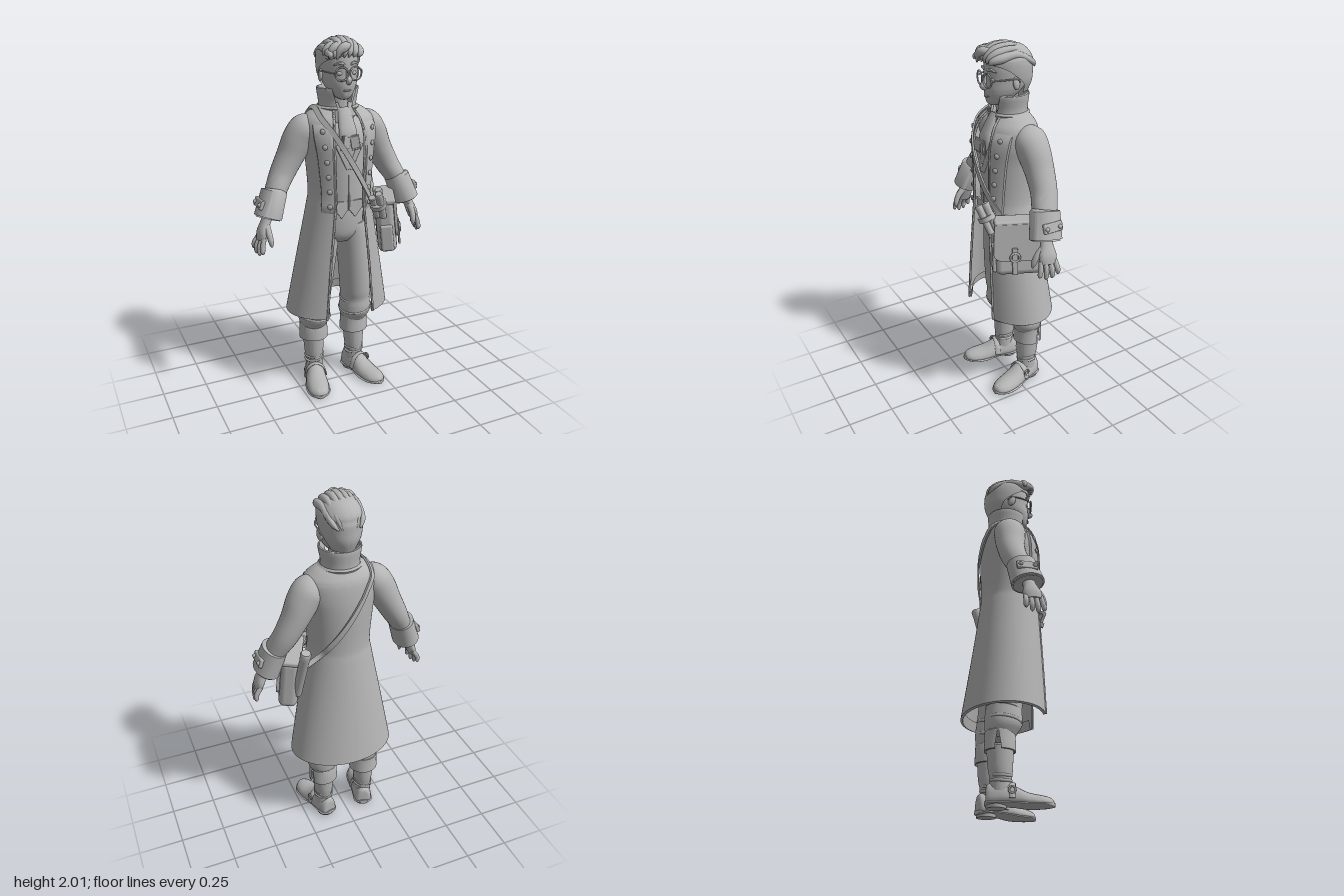
import * as THREE from 'three';
import { toCreasedNormals } from 'three/addons/utils/BufferGeometryUtils.js';
import { RoundedBoxGeometry } from 'three/addons/geometries/RoundedBoxGeometry.js';

const clay = new THREE.MeshStandardMaterial({ color: 0xb4b4b4, side: THREE.DoubleSide });
clay.name = 'clayGrey';
const V = (x, y, z) => new THREE.Vector3(x, y, z);

// Catmull-Rom refinement of rows of numbers
function refine(rows, k) {
  const out = [];
  for (let i = 0; i < rows.length - 1; i++) {
    const [a, b, c, d] = [rows[Math.max(i - 1, 0)], rows[i], rows[i + 1], rows[Math.min(i + 2, rows.length - 1)]];
    for (let j = 0; j < k; j++) {
      const t = j / k;
      out.push(b.map((v, m) => 0.5 * (2 * v + (c[m] - a[m]) * t + (2 * a[m] - 5 * v + 4 * c[m] - d[m]) * t * t
        + (3 * v - a[m] - 3 * c[m] + d[m]) * t * t * t)));
    }
  }
  out.push(rows[rows.length - 1]);
  return out;
}

// Skin over rings of points
function loft(rings, closed = true, caps = true) {
  const n = rings[0].length, pos = [], idx = [];
  rings.forEach(r => r.forEach(p => pos.push(p.x, p.y, p.z)));
  for (let i = 0; i < rings.length - 1; i++)
    for (let j = 0; j < (closed ? n : n - 1); j++) {
      const a = i * n + j, b = i * n + (j + 1) % n;
      idx.push(a, b, b + n, a, b + n, a + n);
    }
  if (caps && closed) [0, rings.length - 1].forEach((i, top) => {
    const c = rings[i].reduce((s, p) => s.add(p), V(0, 0, 0)).divideScalar(n);
    const ci = pos.length / 3;
    pos.push(c.x, c.y, c.z);
    for (let j = 0; j < n; j++) {
      const a = i * n + j, b = i * n + (j + 1) % n;
      top ? idx.push(ci, a, b) : idx.push(ci, b, a);
    }
  });
  const g = new THREE.BufferGeometry();
  g.setAttribute('position', new THREE.Float32BufferAttribute(pos, 3));
  g.setIndex(idx);
  return toCreasedNormals(g, 0.8);
}

// Upright form: rows of [y, cx, cz, rx, rz, half angle of front opening]
function upright(rows, k = 6, n = 44) {
  const open = rows[0].length > 5;
  return loft(refine(rows, k).map(([y, cx, cz, rx, rz, a = 0]) =>
    Array.from({ length: n }, (_, j) => {
      const t = open ? a + (2 * Math.PI - 2 * a) * j / (n - 1) : 2 * Math.PI * j / n;
      return V(cx + rx * Math.sin(t), y, cz + rz * Math.cos(t));
    })), !open);
}

// Limb along a path: rows of [x, y, z, radius along ref, other radius]
function limb(rows, ref = V(0, 0, 1), k = 5, n = 16) {
  const r = refine(rows.map(p => p.length < 5 ? [...p, p[3]] : p), k), at = i => V(r[i][0], r[i][1], r[i][2]);
  return loft(r.map((p, i) => {
    const t = at(Math.min(i + 1, r.length - 1)).sub(at(Math.max(i - 1, 0))).normalize();
    const u = ref.clone().addScaledVector(t, -ref.dot(t)).normalize(), v = t.clone().cross(u);
    return Array.from({ length: n }, (_, j) => {
      const f = 2 * Math.PI * j / n;
      return at(i).addScaledVector(u, p[3] * Math.cos(f)).addScaledVector(v, p[4] * Math.sin(f));
    });
  }));
}

// Coat profile, sampled again for panels, buttons and strap
const coatRows = refine([
  [0.49, 0, -0.035, 0.3, 0.22, 0.485], [0.8, 0, -0.017, 0.243, 0.193, 0.49], [1.1, 0, -0.003, 0.185, 0.167, 0.48],
  [1.2, 0, -0.001, 0.172, 0.159, 0.48], [1.4, 0, -0.005, 0.187, 0.163, 0.47], [1.5, 0, -0.008, 0.202, 0.158, 0.44],
  [1.58, 0, -0.017, 0.195, 0.138, 0.4], [1.625, 0, -0.024, 0.15, 0.106, 0.42], [1.65, 0, -0.025, 0.1, 0.085, 0.5]], 6);
function coatRow(y) {
  const i = Math.max(1, coatRows.findIndex(r => r[0] >= y)), a = coatRows[i - 1], b = coatRows[i];
  return a.map((v, m) => v + (b[m] - v) * (y - a[0]) / (b[0] - a[0]));
}
function coatPoint(y, t, off = 0) {
  const [, , cz, rx, rz] = coatRow(y);
  return V((rx + off) * Math.sin(t), y, cz + (rz + off) * Math.cos(t));
}

export function createModel() {
  const model = new THREE.Group();
  const add = (name, geo, parent = model, pos, rot, scale) => {
    const m = new THREE.Mesh(geo, clay);
    m.name = name;
    if (pos) m.position.set(...pos);
    if (rot) m.rotation.set(...rot);
    if (scale) m.scale.set(...scale);
    parent.add(m);
    return m;
  };
  const ball = (r = 1) => new THREE.SphereGeometry(r, 20, 14);
  const box = (x, y, z, r = 0.006) => new RoundedBoxGeometry(x, y, z, 2, r);

  // Coat with turned hem and edge piping
  const hem = coatRows[0];
  const inner = [[0.54, 0, hem[2], 0.275, 0.197, 0.49], [0.485, 0, hem[2], 0.287, 0.207, 0.488]];
  add('coat', upright([...inner, ...coatRows], 1, 80));
  for (const s of [1, -1]) add('coatEdge', limb(coatRows.filter((_, i) => i % 2 === 0).map(r => {
    const p = coatPoint(r[0], s * r[5]);
    return [p.x, p.y, p.z, 0.007];
  }), V(0, 0, 1), 2, 8));
  add('coatCollar', upright([[1.6, 0, -0.02, 0.112, 0.105, 0.35], [1.66, 0, -0.022, 0.1, 0.1, 0.45],
    [1.735, 0, -0.02, 0.112, 0.108, 0.62], [1.742, 0, -0.02, 0.106, 0.102, 0.64], [1.735, 0, -0.02, 0.098, 0.095, 0.62],
    [1.62, 0, -0.02, 0.085, 0.085, 0.4]], 3));
  add('collarSeam', upright([[1.632, 0, -0.022, 0.112, 0.106, 0.38], [1.642, 0, -0.022, 0.116, 0.11, 0.38],
    [1.652, 0, -0.022, 0.105, 0.102, 0.4]], 1));

  // Buttoned front panels
  for (const s of [1, -1]) {
    const rings = [];
    for (let i = 0; i <= 20; i++) {
      const y = 1.1 + 0.47 * i / 20, a = coatRow(y)[5], b = 0.95 + 0.1 * i / 20;
      rings.push(Array.from({ length: 12 }, (_, j) =>
        coatPoint(y, s * (a + (b - a) * j / 11), j === 0 || j === 11 || i === 0 || i === 20 ? 0 : 0.01)));
    }
    add('frontPanel', loft(rings, false));
    for (let i = 0; i < 6; i++) {
      const y = 1.14 + i * 0.08, p = coatPoint(y, s * (0.64 + 0.015 * i), 0.014);
      add('button', ball(0.014), model, p.toArray(), [0, s * 0.6, 0], [1, 1, 0.55]);
    }
  }

  // Vest, shirt and neckcloth
  add('vest', upright([[1.1, 0, -0.01, 0.14, 0.135], [1.25, 0, -0.01, 0.14, 0.143], [1.42, 0, -0.01, 0.15, 0.143],
    [1.52, 0, -0.015, 0.15, 0.133], [1.59, 0, -0.02, 0.1, 0.09]]));
  for (const s of [1, -1]) {
    const tip = new THREE.Shape([[-0.005, 0.05], [0.085, 0.05], [0.082, 0.01], [0.04, -0.045], [-0.002, 0.01]]
      .map(([x, y]) => new THREE.Vector2(s * x, y)));
    add('vestPoint', new THREE.ExtrudeGeometry(tip, { depth: 0.012, bevelEnabled: false }), model, [0, 1.105, 0.116]);
    add('vestLapel', box(0.03, 0.15, 0.012), model, [s * 0.034, 1.4, 0.133], [0, 0, -s * 0.45]);
    add('shirtCollar', box(0.05, 0.1, 0.014), model, [s * 0.038, 1.62, 0.062], [-0.25, s * 0.5, -s * 0.3]);
  }
  add('neckcloth', limb([[0, 1.64, 0.055, 0.02, 0.035], [0, 1.57, 0.095, 0.02, 0.045], [0, 1.5, 0.122, 0.02, 0.05],
    [0, 1.38, 0.13, 0.01, 0.02]]));
  add('vestSeam', box(0.008, 0.25, 0.008, 0.003), model, [0, 1.23, 0.131]);

  // Open book clasp
  for (const s of [1, -1]) {
    add('bookCover', box(0.054, 0.078, 0.008, 0.003), model, [s * 0.026, 1.475, 0.142], [0, -s * 0.25, s * 0.15]);
    add('bookPages', box(0.044, 0.064, 0.01, 0.003), model, [s * 0.024, 1.478, 0.148], [0, -s * 0.25, s * 0.15]);
  }

  // Trousers, stockings, shoes, arms and hands
  add('hips', upright([[0.9, 0, -0.025, 0.09, 0.085], [0.95, 0, -0.02, 0.14, 0.11], [1.05, 0, -0.015, 0.145, 0.117],
    [1.15, 0, -0.01, 0.135, 0.11]]));
  for (const s of [1, -1]) {
    const X = s * 0.13;
    add('trouserLeg', upright([[0.34, X, -0.075, 0.06, 0.065], [0.375, X, -0.07, 0.08, 0.082], [0.41, X, -0.062, 0.092, 0.094],
      [0.455, X, -0.06, 0.09, 0.096], [0.5, X, -0.058, 0.086, 0.092], [0.56, s * 0.125, -0.05, 0.087, 0.095], [0.75, s * 0.106, -0.035, 0.088, 0.1],
      [0.94, s * 0.083, -0.025, 0.085, 0.105], [1.0, s * 0.075, -0.02, 0.075, 0.1]]));
    for (const [y, r] of [[0.43, 0.089], [0.5, 0.083]])
      add('trouserFold', new THREE.TorusGeometry(r, 0.009, 8, 32), model, [X, y, -0.06], [Math.PI / 2 + 0.12, s * 0.12, 0]);
    add('kneeBand', upright([[0.3, 0, 0, 0.062, 0.066, 0.18], [0.276, 0, 0, 0.073, 0.078, 0.22], [0.278, 0, 0, 0.08, 0.084, 0.22],
      [0.375, 0, 0, 0.077, 0.081, 0.02], [0.385, 0, 0, 0.066, 0.07, 0.01]], 1), model, [X, 0, -0.077], [0, s * 1.9, 0]);
    add('stocking', upright([[0.08, X, -0.07, 0.05, 0.055], [0.14, X, -0.072, 0.05, 0.055], [0.2, X, -0.075, 0.056, 0.063],
      [0.3, X, -0.077, 0.062, 0.068]]));
    for (const y of [0.135, 0.16]) add('stockingFold', new THREE.TorusGeometry(0.05, 0.008, 8, 28), model, [X, y, -0.072], [Math.PI / 2, 0.12, 0]);

    const shoe = new THREE.Group();
    shoe.name = 'shoe';
    shoe.position.set(X, 0, -0.07);
    shoe.rotation.y = s * 0.25;
    model.add(shoe);
    const hull = rows => loft(refine(rows, 4).map(([z, w, b, h]) => Array.from({ length: 28 }, (_, j) => {
      const f = 2 * Math.PI * j / 28, q = Math.sin(f);
      return V(w * Math.cos(f), b + (q > 0 ? h * q : 0.01 * q), z);
    })));
    add('upper', hull([[-0.075, 0.02, 0.03, 0.06], [-0.065, 0.045, 0.03, 0.09], [0, 0.056, 0.03, 0.1], [0.06, 0.058, 0.027, 0.085],
      [0.13, 0.064, 0.022, 0.055], [0.2, 0.058, 0.02, 0.042], [0.24, 0.036, 0.02, 0.03], [0.255, 0.006, 0.02, 0.012]]), shoe);
    add('sole', hull([[-0.08, 0.03, 0.022, 0.014], [-0.06, 0.055, 0.022, 0.014], [0, 0.058, 0.022, 0.014], [0.06, 0.06, 0.02, 0.014],
      [0.13, 0.07, 0.012, 0.014], [0.2, 0.064, 0.012, 0.014], [0.245, 0.036, 0.014, 0.013], [0.26, 0.008, 0.016, 0.01]]), shoe);
    add('heel', new THREE.CylinderGeometry(0.053, 0.05, 0.03, 24), shoe, [0, 0.015, -0.025]);
    add('shoeStrap', limb([[-0.064, 0.04, 0.055, 0.016, 0.005], [-0.045, 0.095, 0.055, 0.016, 0.005], [0, 0.122, 0.055, 0.016, 0.005],
      [0.045, 0.095, 0.055, 0.016, 0.005], [0.064, 0.04, 0.055, 0.016, 0.005]]), shoe);
    add('shoeBuckle', new THREE.TorusGeometry(0.016, 0.005, 8, 20), shoe, [s * 0.06, 0.08, 0.055], [0, Math.PI / 2, 0]);

    add('sleeve', limb([[s * 0.13, 1.565, -0.035, 0.06, 0.05], [s * 0.175, 1.535, -0.038, 0.088, 0.08], [s * 0.215, 1.475, -0.045, 0.086, 0.085],
      [s * 0.26, 1.39, -0.05, 0.078, 0.074], [s * 0.31, 1.3, -0.045, 0.071, 0.066], [s * 0.35, 1.23, -0.025, 0.068, 0.058],
      [s * 0.385, 1.16, -0.005, 0.062, 0.052]], V(0, 0, 1), 5, 28));
    add('sleeveCuff', limb([[s * 0.364, 1.225, -0.02, 0.066, 0.056], [s * 0.366, 1.218, -0.018, 0.08, 0.068], [s * 0.413, 1.085, 0.005, 0.089, 0.073],
      [s * 0.415, 1.078, 0.006, 0.08, 0.064], [s * 0.408, 1.1, 0.002, 0.066, 0.052]], V(0, 0, 1), 1, 32));
    add('cuffTab', box(0.02, 0.05, 0.11), model, [s * 0.454, 1.165, -0.008], [0, 0, s * 0.33]);
    for (const z of [-0.045, 0.03]) add('cuffButton', ball(0.012), model, [s * 0.464, 1.165, z]);

    // Palm, four fingers and thumb
    add('palm', limb([[s * 0.405, 1.11, 0.002, 0.034, 0.028], [s * 0.43, 1.06, 0.01, 0.036, 0.026], [s * 0.452, 1.01, 0.016, 0.05, 0.026],
      [s * 0.463, 0.97, 0.02, 0.045, 0.02]]));
    for (let i = 0; i < 4; i++) {
      const z = -0.02 + i * 0.026, l = [0.075, 0.092, 0.095, 0.08][i], out = [0.012, 0.01, 0.004, -0.004][i];
      add('finger', limb([[s * 0.455, 0.99, z, 0.013], [s * (0.472 + out), 0.985 - l * 0.5, z * 1.15, 0.0135],
        [s * (0.474 + out), 0.985 - l * 0.85, z * 1.25, 0.012], [s * (0.472 + out), 0.985 - l, z * 1.25, 0.004]], V(0, 0, 1), 4, 12));
    }
    add('thumb', limb([[s * 0.43, 1.05, 0.03, 0.018], [s * 0.43, 1.01, 0.066, 0.017], [s * 0.426, 0.97, 0.084, 0.014],
      [s * 0.424, 0.945, 0.088, 0.005]], V(1, 0, 0), 4, 12));
  }

  // Head and face
  add('neck', upright([[1.56, 0, -0.02, 0.065, 0.065], [1.66, 0, -0.015, 0.054, 0.06], [1.76, 0, -0.01, 0.056, 0.065]]));
  add('head', upright([[1.688, 0, 0.062, 0.018, 0.02], [1.7, 0, 0.05, 0.038, 0.05], [1.73, 0, 0.025, 0.066, 0.083], [1.77, 0, 0.006, 0.086, 0.107],
    [1.82, 0, -0.008, 0.095, 0.118], [1.88, 0, -0.012, 0.1, 0.122], [1.94, 0, -0.012, 0.09, 0.11], [1.98, 0, -0.012, 0.04, 0.06]]));
  add('nose', limb([[0, 1.84, 0.105, 0.009], [0, 1.81, 0.119, 0.012], [0, 1.79, 0.126, 0.0165], [0, 1.775, 0.115, 0.01]], V(1, 0, 0)));
  add('mouth', limb([[-0.028, 1.742, 0.098, 0.003], [0, 1.737, 0.113, 0.006], [0.028, 1.742, 0.098, 0.003]]));
  for (const s of [1, -1]) {
    add('eye', ball(), model, [s * 0.037, 1.825, 0.094], null, [0.017, 0.012, 0.012]);
    add('eyebrow', limb([[s * 0.016, 1.868, 0.108, 0.005], [s * 0.04, 1.877, 0.104, 0.008], [s * 0.068, 1.866, 0.086, 0.003]]));
    add('ear', ball(), model, [s * 0.1, 1.808, -0.008], [0.2, s * 0.35, 0], [0.012, 0.034, 0.022]);
    add('glassesRim', new THREE.TorusGeometry(0.034, 0.0045, 8, 32), model, [s * 0.039, 1.825, 0.122], [0, s * 0.15, 0]);
    add('glassesArm', limb([[s * 0.073, 1.828, 0.117, 0.004], [s * 0.1, 1.832, 0.06, 0.004], [s * 0.107, 1.83, -0.01, 0.004],
      [s * 0.1, 1.81, -0.03, 0.004]], V(0, 1, 0), 4, 8));
  }
  add('glassesBridge', limb([[-0.007, 1.83, 0.126, 0.004], [0, 1.834, 0.128, 0.004], [0.007, 1.83, 0.126, 0.004]], V(0, 1, 0), 3, 8));

  // Swept hair: cap, long strands and forelocks
  add('hairCap', upright([[1.745, 0, -0.03, 0.07, 0.1, 1.95], [1.8, 0, -0.026, 0.098, 0.123, 1.8], [1.85, 0, -0.02, 0.109, 0.131, 1.4],
    [1.885, 0, -0.017, 0.112, 0.134, 1.0], [1.905, 0, -0.014, 0.112, 0.132, 0.4], [1.93, 0, -0.013, 0.107, 0.128, 0],
    [1.965, 0, -0.013, 0.08, 0.1, 0], [1.985, 0, -0.013, 0.045, 0.06, 0], [1.99, 0, -0.013, 0.001, 0.001, 0]], 4));
  for (let i = -3; i <= 3; i++) {
    const x = i * 0.026, d = 0.0042 * i * i;
    add('hairStrand', limb([[x * 0.7, 1.87, -0.142, 0.004], [x, 1.94 - d, -0.11, 0.016], [x * 1.1, 1.982 - d, -0.02, 0.02],
      [x * 1.1 - 0.006, 1.972 - d, 0.065, 0.024], [x * 1.05 - 0.016, 1.935 - d * 0.4, 0.112, 0.016], [x - 0.026, 1.905, 0.118, 0.003]], V(1, 0, 0), 4, 12));
  }
  for (const [x, y, z] of [[-0.118, 1.915, 0.07], [-0.1, 1.9, 0.1], [-0.065, 1.895, 0.122]])
    add('forelock', limb([[x + 0.09, 1.96, z - 0.04, 0.01], [x + 0.045, 1.958, z - 0.005, 0.024], [x + 0.012, 1.935, z, 0.018], [x, y, z, 0.003]], V(0, 0, 1), 4, 12));

  // Shoulder strap as a flat ribbon: over the front, the shoulder and the back
  const path = [[0.2, 1.08, 0.13]];
  for (const back of [0, 1]) {
    const run = [];
    for (let i = 0; i <= 7; i++) {
      const t = i / 7, y = (back ? 1.16 : 1.12) + (back ? 0.44 : 0.48) * t, x = 0.14 - 0.265 * t;
      const a = Math.asin(Math.max(-0.95, Math.min(0.95, x / coatRow(y)[3])));
      run.push(coatPoint(y, back ? Math.PI - a : a, 0.013).toArray());
    }
    path.push(...(back ? run.reverse() : [...run, [-0.135, 1.645, -0.02]]));
  }
  path.push([0.25, 1.1, -0.1]);
  const ribbon = refine(path, 4).map(p => V(...p));
  add('bagStrap', loft(ribbon.map((p, i) => {
    const t = ribbon[Math.min(i + 1, ribbon.length - 1)].clone().sub(ribbon[Math.max(i - 1, 0)]).normalize();
    const o = p.clone().sub(V(0, Math.min(p.y, 1.5), -0.02));
    const n = o.addScaledVector(t, -o.dot(t)).normalize(), w = t.clone().cross(n);
    return [[1, 1], [-1, 1], [-1, -1], [1, -1]].map(([a, b]) => p.clone().addScaledVector(w, a * 0.014).addScaledVector(n, b * 0.005));
  })));

  // Satchel with flap and buckle
  const bag = new THREE.Group();
  bag.name = 'satchel';
  bag.position.set(0.26, 0.99, 0.055);
  bag.rotation.set(0, -0.43, 0.1);
  model.add(bag);
  add('satchelBody', box(0.105, 0.3, 0.28, 0.035), bag);
  const flap = new THREE.Shape();
  flap.moveTo(-0.142, 0.14).lineTo(0.142, 0.14).lineTo(0.148, -0.02).quadraticCurveTo(0.14, -0.06, 0.08, -0.06)
    .lineTo(-0.08, -0.06).quadraticCurveTo(-0.14, -0.06, -0.148, -0.02);
  add('flap', new THREE.ExtrudeGeometry(flap, { depth: 0.012, bevelSize: 0.003, bevelThickness: 0.003, bevelSegments: 2 }), bag, [0.05, 0, 0], [0, Math.PI / 2, 0]);
  add('flapTop', box(0.115, 0.03, 0.288, 0.012), bag, [0.005, 0.142, 0]);
  add('flapStrap', box(0.012, 0.15, 0.03, 0.004), bag, [0.07, -0.06, 0.04]);
  add('satchelBuckle', new THREE.TorusGeometry(0.024, 0.006, 8, 24), bag, [0.077, -0.035, 0.04], [0, Math.PI / 2, 0]);
  add('sidePocket', box(0.07, 0.15, 0.03, 0.012), bag, [0, -0.06, 0.14]);

  // Scroll bundle in front and a long scroll case behind
  const roll = (name, a, b, r) => add(name, limb([[...a, r * 0.9], [...a.map((v, i) => v + (b[i] - v) * 0.03), r * 1.1],
    [...a.map((v, i) => v + (b[i] - v) * 0.15), r], [...b, r * 0.95]], V(1, 0, 0), 1, 20));
  for (const [x, z] of [[-0.02, -0.004], [0.018, -0.01], [0.004, 0.022]])
    roll('scroll', [0.12 + x, 1.205 + x, 0.21 + z], [0.175 + x, 1.06, 0.165 + z], 0.02);
  add('scrollBand', limb([[0.138, 1.15, 0.197, 0.046], [0.147, 1.127, 0.19, 0.046]], V(1, 0, 0), 1, 24));
  roll('scrollCase', [0.24, 1.235, -0.15], [0.265, 0.92, -0.055], 0.027);
  return model;
}
